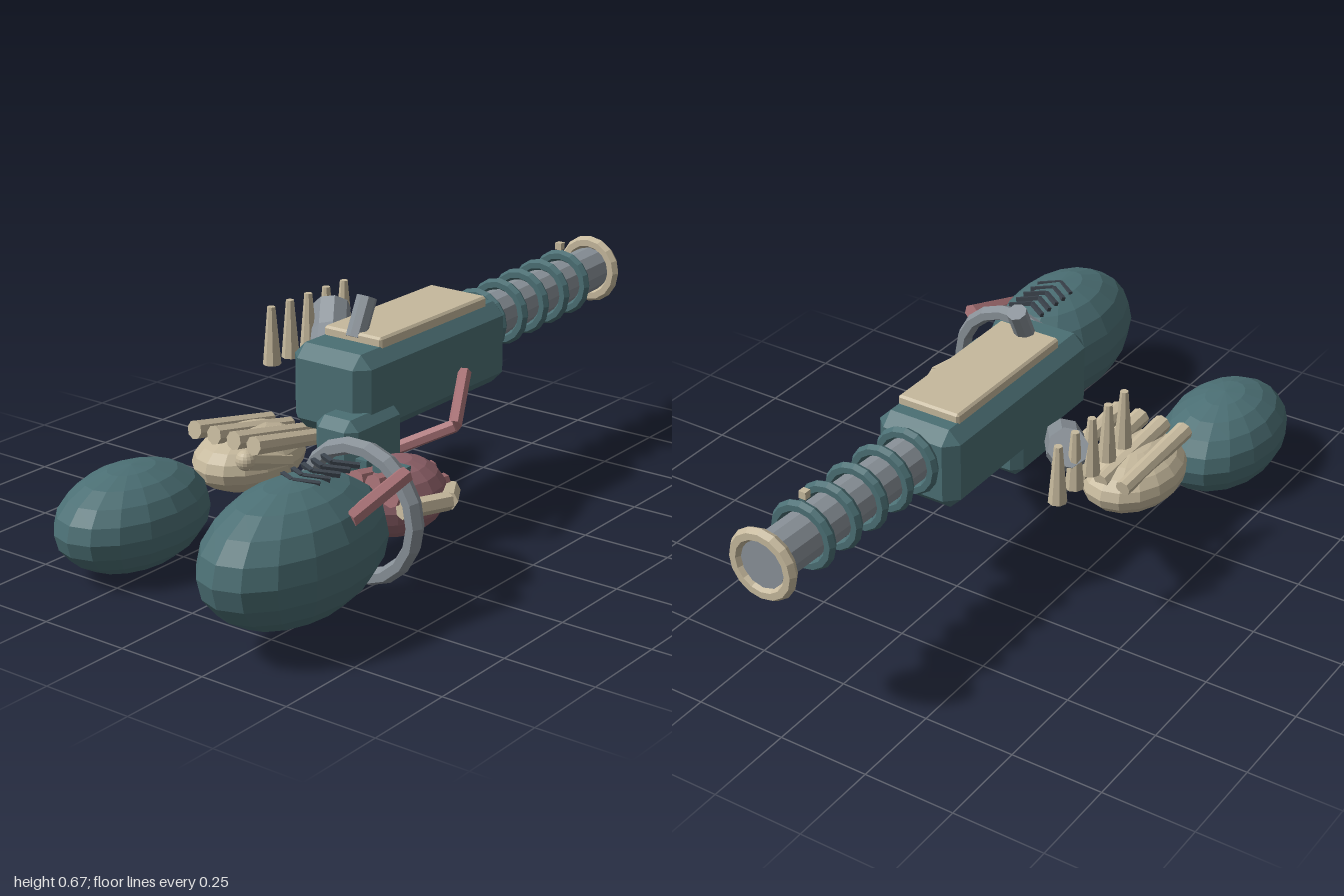
import * as THREE from 'three';
import { ConvexGeometry } from 'three/addons/geometries/ConvexGeometry.js';

const V = (x, y, z) => new THREE.Vector3(x, y, z);

export function createModel() {
  const model = new THREE.Group();
  model.name = 'model';
  const material = (name, color) => {
    const m = new THREE.MeshStandardMaterial({ color });
    m.name = name;
    return m;
  };
  const teal = material('teal', 0x4b6f74);
  const grey = material('grey', 0x889097);
  const cream = material('cream', 0xc6b99d);
  const rose = material('rose', 0xa87276);
  const plum = material('plum', 0x90626a);
  const dark = material('dark slate', 0x3b434c);

  // Faceted mesh: unshared vertices give every face its own normal
  const add = (name, geometry, mat, parent = model) => {
    const g = geometry.index ? geometry.toNonIndexed() : geometry;
    g.computeVertexNormals();
    const mesh = new THREE.Mesh(g, mat);
    mesh.name = name;
    parent.add(mesh);
    return mesh;
  };
  const group = (name) => {
    const g = new THREE.Group();
    g.name = name;
    model.add(g);
    return g;
  };

  // Box with all edges cut at 45 degrees, given by its low and high corners
  const chamferBox = (name, lo, hi, c, mat) => {
    const half = hi.clone().sub(lo).multiplyScalar(0.5);
    const points = [];
    for (const sx of [-1, 1]) for (const sy of [-1, 1]) for (const sz of [-1, 1]) {
      for (let axis = 0; axis < 3; axis++) {
        const p = half.clone().subScalar(c);
        p.setComponent(axis, half.getComponent(axis));
        points.push(p.multiply(V(sx, sy, sz)));
      }
    }
    const mesh = add(name, new ConvexGeometry(points), mat);
    mesh.position.copy(lo).add(hi).multiplyScalar(0.5);
    return mesh;
  };

  const ellipsoid = (name, center, radii, mat, parent = model) => {
    const geometry = new THREE.SphereGeometry(1, 16, 10).scale(radii.x, radii.y, radii.z);
    const mesh = add(name, geometry, mat, parent);
    mesh.position.copy(center);
    return mesh;
  };

  // Straight rod from a to b, radius ra at a and rb at b
  const rod = (name, a, b, ra, rb, mat, parent = model, sides = 8) => {
    const d = b.clone().sub(a);
    const mesh = add(name, new THREE.CylinderGeometry(rb, ra, d.length(), sides), mat, parent);
    mesh.position.copy(a).add(b).multiplyScalar(0.5);
    mesh.quaternion.setFromUnitVectors(V(0, 1, 0), d.normalize());
    return mesh;
  };
  const bentRod = (name, points, r, mat, sides = 6) => {
    const g = group(name);
    for (let i = 0; i < points.length - 1; i++) {
      rod(name + 'Segment', points[i], points[i + 1], r, r, mat, g, sides);
    }
    return g;
  };

  // Main housing, grip, top plate and lever
  chamferBox('housing', V(-0.087, 0.328, -0.385), V(0.158, 0.556, 0.268), 0.034, teal);
  chamferBox('grip', V(0.045, 0.118, 0.115), V(0.178, 0.41, 0.34), 0.026, teal);
  chamferBox('topPlate', V(-0.056, 0.54, -0.315), V(0.128, 0.58, 0.155), 0.006, cream);
  rod('lever', V(0.036, 0.56, 0.14), V(0.036, 0.658, 0.092), 0.027, 0.027, grey);

  // Ribbed barrel, rising slightly toward its muzzle
  const barrel = group('barrelAssembly');
  const start = V(0.035, 0.466, -0.37), end = V(0.035, 0.488, -0.985);
  rod('barrel', start, end, 0.064, 0.064, grey, barrel, 12);
  const barrelRing = (name, z, R, r, mat) => {
    const ring = add(name, new THREE.TorusGeometry(R, r, 6, 16), mat, barrel);
    ring.position.lerpVectors(start, end, (z - start.z) / (end.z - start.z));
    return ring;
  };
  for (let i = 0; i < 5; i++) barrelRing('barrelRib', -0.41 - i * 0.105, 0.079, 0.016, teal);
  barrelRing('muzzleRing', -0.982, 0.08, 0.018, cream);
  add('sight', new THREE.BoxGeometry(0.02, 0.02, 0.02), cream, barrel).position.set(0.035, 0.592, -0.818);

  // Right hand: round cuff, palm, curled fingers and thumb
  ellipsoid('rightCuff', V(-0.318, 0.14, 0.611), V(0.161, 0.137, 0.24), teal);
  const rightHand = group('rightHand');
  ellipsoid('rightPalm', V(-0.255, 0.2, 0.225), V(0.13, 0.085, 0.178), cream, rightHand);
  for (let i = 0; i < 4; i++) {
    const x = -0.33 + i * 0.067;
    rod('rightFinger', V(x - 0.005, 0.29, 0.35), V(x + 0.02, 0.245, 0.07), 0.026, 0.022, cream, rightHand);
  }
  rod('rightThumb', V(-0.16, 0.245, 0.35), V(-0.15, 0.2, 0.2), 0.028, 0.028, cream, rightHand);
  ellipsoid('rightThumbTip', V(-0.16, 0.245, 0.35), V(0.028, 0.028, 0.028), cream, rightHand);

  // Angled pipe and its row of spikes
  bentRod('anglePipe', [V(-0.165, 0.385, 0.01), V(-0.26, 0.445, -0.13), V(-0.3, 0.505, -0.19)], 0.052, grey, 8);
  const spikes = group('spikes');
  for (let i = 0; i < 5; i++) {
    const z = -0.267 + i * 0.0788;
    rod('spike', V(-0.319, 0.395, z), V(-0.319, 0.556, z), 0.025, 0.011, cream, spikes);
  }

  // Left hand: cuff, palm, fingers and studs
  ellipsoid('leftCuff', V(0.283, 0.228, 0.7), V(0.174, 0.178, 0.296), teal);
  const leftHand = group('leftHand');
  ellipsoid('leftPalm', V(0.285, 0.24, 0.3), V(0.118, 0.1, 0.147), plum, leftHand);
  for (let i = 0; i < 4; i++) {
    const x = 0.205 + i * 0.053;
    const y = i === 0 || i === 3 ? 0.29 : 0.315;
    rod('leftFinger', V(x, y, 0.43), V(0.285 + (x - 0.285) * 0.75, y - 0.035, 0.18), 0.024, 0.02, rose, leftHand);
  }
  for (let i = 0; i < 3; i++) {
    add('knuckleStud', new THREE.BoxGeometry(0.034, 0.025, 0.042), teal, leftHand)
      .position.set(0.237 + i * 0.052, 0.333, 0.36);
  }
  bentRod('leftThumb', [V(0.36, 0.232, 0.17), V(0.43, 0.252, 0.28), V(0.39, 0.262, 0.42)], 0.024, cream);

  // Wrist ring around the left cuff
  const wrist = add('wristRing', new THREE.TorusGeometry(0.168, 0.022, 6, 18).scale(1, 1, 1.25), grey);
  wrist.position.set(0.285, 0.244, 0.45);

  // Rose struts
  bentRod('rearStrut', [V(0.195, 0.43, -0.12), V(0.285, 0.35, 0.05), V(0.16, 0.285, 0.125)], 0.018, rose);
  bentRod('cuffStrut', [V(0.428, 0.375, 0.455), V(0.412, 0.318, 0.655)], 0.022, rose);

  // Row of chevrons on the left cuff
  const chevrons = group('chevrons');
  for (let i = 0; i < 5; i++) {
    const z = 0.552 + i * 0.038;
    for (const side of [-1, 1]) {
      rod('chevronArm', V(0.283, 0.402, z), V(0.283 + side * 0.056, 0.396, z - 0.034), 0.008, 0.008, dark, chevrons, 4);
    }
  }
  return model;
}
